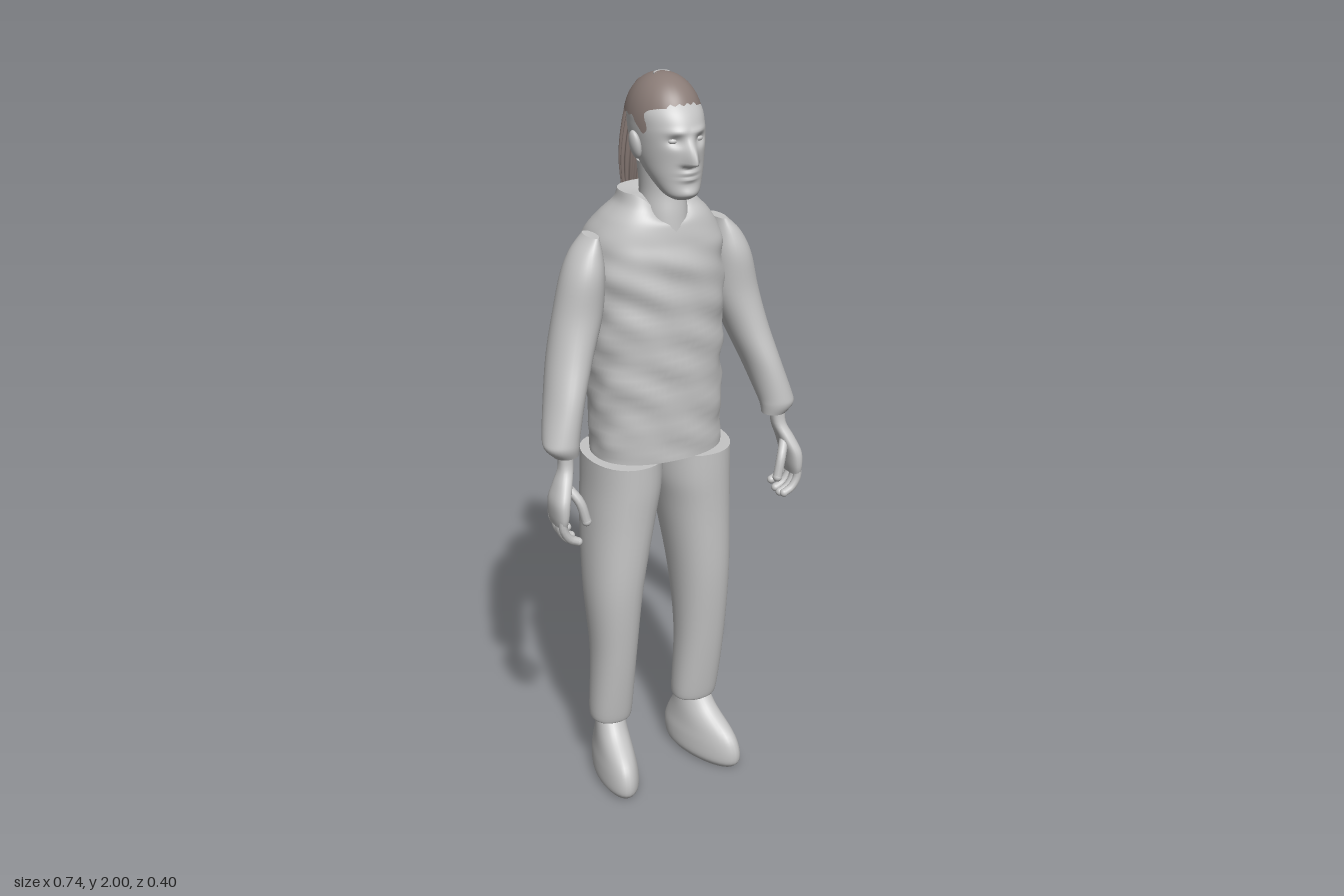
import * as THREE from 'three';

const CX = 0.005; // body centreline
const gauss = (v, c, w) => Math.exp(-(((v - c) / w) ** 2));
const smooth = THREE.MathUtils.smoothstep;

// Closed tube surface from fn(angle, v), v rising upward, with flat end caps
function skin(fn, nu, nv, capBottom = true, capTop = true) {
  const pos = [], idx = [];
  for (let i = 0; i <= nv; i++)
    for (let j = 0; j < nu; j++) pos.push(...fn((j / nu) * Math.PI * 2, i / nv));
  for (let i = 0; i < nv; i++)
    for (let j = 0; j < nu; j++) {
      const k = (j + 1) % nu, a = i * nu + j, b = a + nu, c = i * nu + k, d = c + nu;
      idx.push(a, b, c, c, b, d);
    }
  const cap = (row, up) => {
    const base = pos.length / 3, mid = [0, 0, 0];
    for (let j = 0; j < nu; j++)
      for (let k = 0; k < 3; k++) {
        const v = pos[(row * nu + j) * 3 + k];
        mid[k] += v / nu;
        pos.push(v);
      }
    pos.push(...mid);
    for (let j = 0; j < nu; j++) {
      const a = base + j, b = base + ((j + 1) % nu);
      idx.push(base + nu, up ? b : a, up ? a : b);
    }
  };
  if (capBottom) cap(0, false);
  if (capTop) cap(nv, true);
  const g = new THREE.BufferGeometry();
  g.setAttribute('position', new THREE.Float32BufferAttribute(pos, 3));
  g.setIndex(idx);
  g.computeVertexNormals();
  return g;
}

// Smooth loft through rings [y, x0, x1, z0, z1]; power shapes the section, warp moves points
function loft(rings, { nu = 32, nv = 32, power = 2, warp = (p) => p } = {}) {
  const n = rings.length - 1;
  const ring = (i) => rings[Math.min(n, Math.max(0, i))];
  const at = (t) => {
    const i = Math.min(n - 1, Math.floor(t)), f = t - i;
    return ring(i).map((b, k) => {
      const a = ring(i - 1)[k], c = ring(i + 1)[k], d = ring(i + 2)[k];
      return b + 0.5 * f * (c - a + f * (2 * a - 5 * b + 4 * c - d + f * (3 * (b - c) + d - a)));
    });
  };
  const round = (v) => Math.sign(v) * Math.abs(v) ** (2 / power);
  return skin((a, v) => {
    const [y, x0, x1, z0, z1] = at(v * n);
    return warp([
      (x0 + x1) / 2 + ((x1 - x0) / 2) * round(Math.cos(a)), y,
      (z0 + z1) / 2 + ((z1 - z0) / 2) * round(Math.sin(a))], a);
  }, nu, nv);
}

export function createModel() {
  const body = new THREE.MeshStandardMaterial({ color: 0xc4c4c4 });
  body.name = 'lightGrey';
  const hairMat = new THREE.MeshStandardMaterial({ color: 0x8a7c77, side: THREE.DoubleSide });
  hairMat.name = 'brownHair';
  const model = new THREE.Group();
  const add = (name, geo, mat = body, parent = model) => {
    const m = new THREE.Mesh(geo, mat);
    m.name = name;
    parent.add(m);
    return m;
  };
  const ball = (name, p, r, mat, parent) => {
    const m = add(name, new THREE.SphereGeometry(1, 20, 14), mat, parent);
    m.position.set(...p);
    m.scale.set(...r);
    return m;
  };

  // Loose creased top, collar dipping at the throat
  add('torso', loft([
    [0.98, -0.17, 0.195, -0.155, 0.105], [1.2, -0.172, 0.195, -0.175, 0.11],
    [1.4, -0.175, 0.2, -0.19, 0.112], [1.52, -0.175, 0.2, -0.197, 0.11],
    [1.58, -0.165, 0.188, -0.192, 0.1], [1.63, -0.135, 0.155, -0.15, 0.09],
    [1.67, -0.1, 0.115, -0.11, 0.075], [1.7, -0.09, 0.1, -0.095, 0.06],
  ], {
    nu: 72, nv: 64, power: 2.3,
    warp: ([x, y, z], a) => {
      const k = 0.003 * smooth(y, 0.98, 1.03) * (1 - smooth(y, 1.5, 1.62)) *
        (Math.sin(42 * y + 5 * Math.sin(2 * a)) + Math.sin(67 * y - 4 * a));
      const dip = 0.06 * smooth(y, 1.62, 1.7) * smooth(z, 0.02, 0.06) * gauss(x, 0.01, 0.06);
      return [x + k * Math.cos(a), y - dip, z + k * Math.sin(a)];
    },
  }));

  // Trouser legs: y, right x0, x1, left x0, x1, z0, z1
  const legs = [
    [0.18, -0.2, -0.095, 0.06, 0.175, -0.045, 0.055], [0.21, -0.208, -0.088, 0.055, 0.187, -0.05, 0.065],
    [0.4, -0.205, -0.08, 0.06, 0.2, -0.055, 0.09], [0.6, -0.215, -0.06, 0.048, 0.21, -0.09, 0.108],
    [0.8, -0.205, -0.018, 0.022, 0.215, -0.14, 0.112], [0.9, -0.198, 0.002, 0.006, 0.215, -0.152, 0.115],
    [0.98, -0.195, 0.005, 0.005, 0.215, -0.155, 0.115]];
  add('rightLeg', loft(legs.map((r) => [r[0], r[1], r[2], r[5], r[6]]), { nv: 40, power: 2.2 }));
  add('leftLeg', loft(legs.map((r) => [r[0], r[3], r[4], r[5], r[6]]), { nv: 40, power: 2.2 }));

  // Shoes, turned outward by a shear
  const shoe = [[0, 0.045, -0.07, 0.165], [0.02, 0.057, -0.085, 0.182], [0.06, 0.056, -0.095, 0.18],
    [0.1, 0.05, -0.085, 0.155], [0.15, 0.045, -0.058, 0.085], [0.19, 0.042, -0.045, 0.05]];
  for (const [name, cx, turn] of [['rightShoe', -0.148, -0.15], ['leftShoe', 0.118, 0.25]])
    add(name, loft(shoe.map(([y, w, z0, z1]) => [y, cx - w, cx + w, z0, z1]),
      { nv: 24, warp: ([x, y, z]) => [x + turn * z, Math.max(0, y), z] }));

  // Sleeves and hands, given as distances from the centreline
  const sleeve = [[1.055, 0.278, 0.345, 0.055, 0.12], [1.08, 0.275, 0.368, 0.04, 0.13],
    [1.11, 0.268, 0.366, 0.018, 0.128], [1.2, 0.24, 0.342, -0.03, 0.112],
    [1.3, 0.2, 0.318, -0.062, 0.085], [1.4, 0.165, 0.295, -0.068, 0.068],
    [1.5, 0.158, 0.27, -0.067, 0.066], [1.56, 0.162, 0.24, -0.06, 0.05], [1.6, 0.17, 0.2, -0.05, 0.03]];
  const palm = [[0.885, 0.338, 0.366, 0.078, 0.162], [0.91, 0.332, 0.37, 0.073, 0.168],
    [0.95, 0.325, 0.37, 0.073, 0.165], [0.99, 0.312, 0.355, 0.077, 0.145],
    [1.03, 0.3, 0.338, 0.078, 0.122], [1.08, 0.298, 0.338, 0.075, 0.118]];
  for (const [side, s] of [['right', -1], ['left', 1]]) {
    const mirror = (rings) => rings.map(([y, a, b, z0, z1]) =>
      [y, CX + (s < 0 ? -b : a), CX + (s < 0 ? -a : b), z0, z1]);
    add(side + 'Arm', loft(mirror(sleeve), { nv: 40 }));
    const hand = new THREE.Group();
    hand.name = side + 'Hand';
    model.add(hand);
    add('palm', loft(mirror(palm), { nu: 24, nv: 20, power: 2.4 }), body, hand);
    const digit = (name, pts, r) => {
      const path = pts.map(([d, y, z]) => new THREE.Vector3(CX + s * d, y, z));
      add(name, new THREE.TubeGeometry(new THREE.CatmullRomCurve3(path), 10, r, 10), body, hand);
      ball(name + 'Tip', path[path.length - 1].toArray(), [r, r, r], body, hand);
    };
    [0.085, 0.108, 0.131, 0.153].forEach((z, i) => {
      const lift = [0.018, 0.004, 0, 0.006][i];
      digit('finger', [[0.353, 0.92, z], [0.352, 0.87 + lift, z], [0.335, 0.842 + lift, z],
        [0.312, 0.83 + lift, z]], 0.0115);
    });
    digit('thumb', [[0.328, 0.985, 0.12], [0.303, 0.945, 0.148], [0.288, 0.89, 0.155]], 0.013);
  }

  // Neck
  add('neck', loft([[1.58, -0.055, 0.075, -0.05, 0.098], [1.65, -0.052, 0.072, -0.048, 0.09],
    [1.71, -0.048, 0.068, -0.046, 0.08], [1.78, -0.055, 0.075, -0.05, 0.085]], { nv: 16 }));

  // Head with nose, sockets, lips and chin shaped by a rule
  const head = new THREE.Group();
  head.name = 'head';
  model.add(head);
  const skull = [[1.705, 0.025, 0.095, 0.145], [1.72, 0.046, 0.065, 0.16], [1.76, 0.066, 0, 0.161],
    [1.8, 0.077, -0.052, 0.163], [1.84, 0.083, -0.084, 0.166], [1.88, 0.086, -0.09, 0.16],
    [1.92, 0.084, -0.085, 0.14], [1.96, 0.06, -0.055, 0.1], [1.983, 0.034, -0.025, 0.068],
    [1.992, 0.006, 0.012, 0.03]];
  add('face', loft(skull.map(([y, w, z0, z1]) => [y, 0.01 - w, 0.01 + w, z0, z1]), {
    nu: 112, nv: 80, power: 2.1,
    warp: ([x, y, z]) => {
      const dx = Math.abs(x - 0.01);
      const nose = smooth(y, 1.788, 1.802) * (1 - smooth(y, 1.802, 1.872));
      const bump = 0.037 * nose * gauss(dx, 0, 0.013 + 0.004 * nose)
        - 0.013 * gauss(dx, 0.034, 0.018) * gauss(y, 1.855, 0.013)
        + 0.005 * gauss(dx, 0.03, 0.025) * gauss(y, 1.878, 0.008)
        + 0.007 * gauss(dx, 0, 0.024) * (gauss(y, 1.776, 0.006) + gauss(y, 1.76, 0.006))
        + 0.007 * gauss(dx, 0, 0.025) * gauss(y, 1.723, 0.013);
      return [x, y, z + bump * smooth(z, 0.07, 0.11)];
    },
  }), body, head);
  for (const s of [-1, 1]) {
    ball('eye', [0.01 + s * 0.034, 1.855, 0.137], [0.014, 0.008, 0.011], body, head);
    ball('ear', [0.01 + s * 0.09, 1.832, 0.045], [0.013, 0.037, 0.022], body, head).rotation.z = -s * 0.2;
  }

  // Hair cap with a high forehead line and low temples
  add('hairCap', skin((a, v) => {
    const s = Math.sin(a);
    const line = 1.903 + 0.035 * smooth(s, 0.6, 0.95) - 0.036 * gauss(s, 0.42, 0.2)
      + 0.003 * Math.sin(23 * a);
    const y = THREE.MathUtils.lerp(line, 2, Math.sin((v * Math.PI) / 2));
    const h = Math.max(0, (y - 1.86) / 0.14);
    const r = Math.sqrt(Math.max(0, 1 - h ** 2.4));
    return [0.01 + 0.094 * r * Math.cos(a), y, 0.022 + 0.122 * r * s];
  }, 96, 24, false, false), hairMat, head);
  ball('napeHair', [0.01, 1.79, -0.03], [0.045, 0.024, 0.026], hairMat, head);

  // Small bare arch on the crown
  const arch = add('crownParting', new THREE.TorusGeometry(0.02, 0.004, 8, 20, Math.PI), body, head);
  arch.rotation.x = -Math.PI / 2;
  arch.position.set(0.008, 1.996, 0.024);

  // Fluted ponytail
  add('ponytail', loft([[1.595, 0.002, 0.016, -0.165, -0.152], [1.65, -0.012, 0.032, -0.172, -0.136],
    [1.75, -0.026, 0.048, -0.176, -0.113], [1.85, -0.02, 0.042, -0.163, -0.1],
    [1.92, -0.006, 0.028, -0.138, -0.09], [1.955, -0.002, 0.022, -0.11, -0.065],
    [1.965, 0.004, 0.016, -0.085, -0.055]], {
    nu: 90, nv: 36,
    warp: ([x, y, z], a) => {
      const k = 0.003 * Math.sin(15 * a + 8 * y) * (1 - smooth(y, 1.88, 1.95));
      return [x + k * Math.cos(a), y, z + k * Math.sin(a)];
    },
  }), hairMat, head);

  return model;
}
